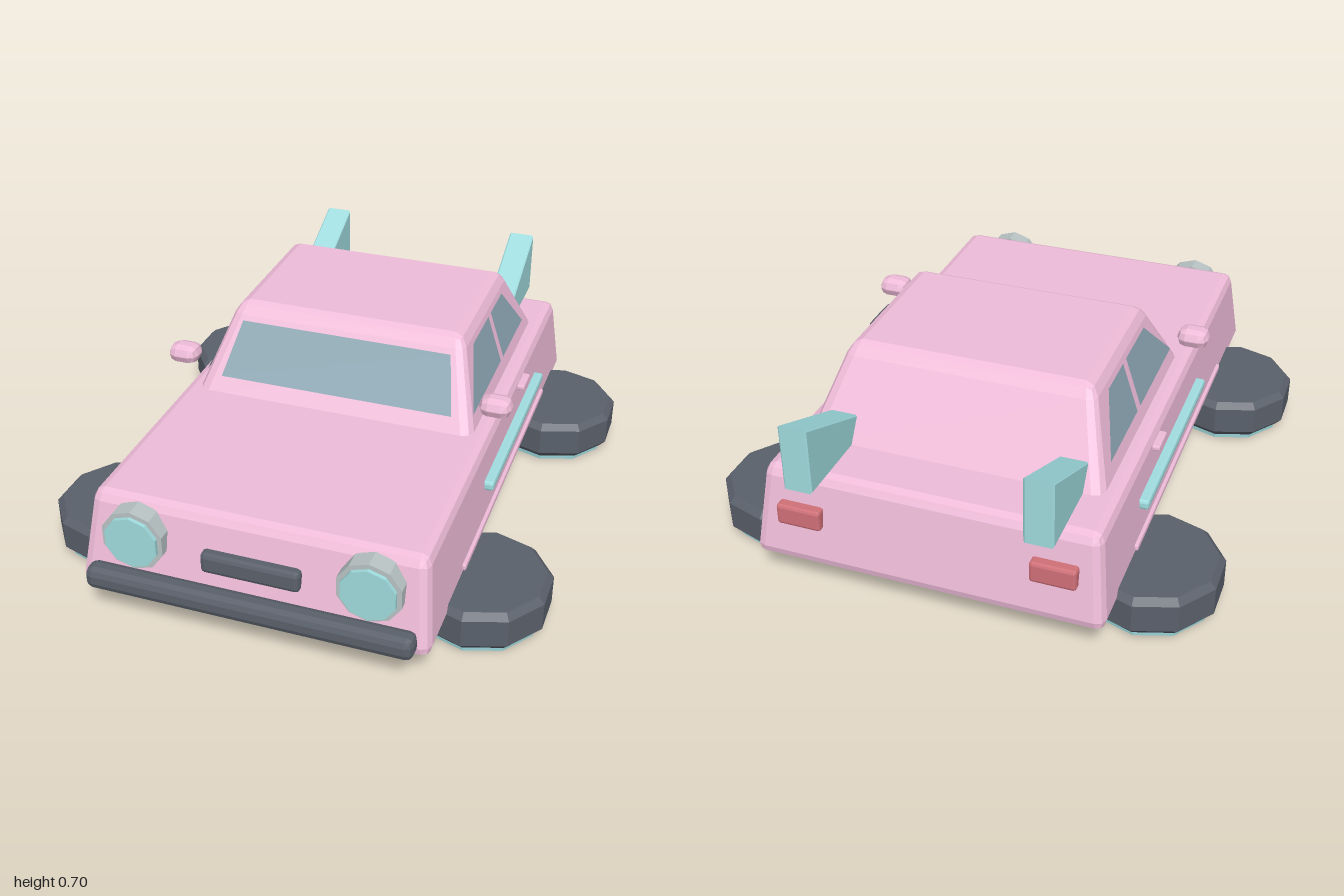
import * as THREE from 'three';
import { RoundedBoxGeometry } from 'three/addons/geometries/RoundedBoxGeometry.js';

const mat = (color, side = THREE.FrontSide) =>
  new THREE.MeshStandardMaterial({ color, flatShading: true, side });

export function createModel() {
  const car = new THREE.Group();
  car.name = 'car';
  const pink = mat(0xeebbd8), cyan = mat(0xa0dcdf), dark = mat(0x5a606b);
  const glass = mat(0x8aa4b0, THREE.DoubleSide), red = mat(0xd07078), rim = mat(0xb9c3c4);

  const add = (name, geometry, material, x = 0, y = 0, z = 0) => {
    const mesh = new THREE.Mesh(geometry, material);
    mesh.name = name;
    mesh.position.set(x, y, z);
    car.add(mesh);
    return mesh;
  };
  // Bevelled box given by its limits on each axis
  const box = (name, material, [x0, x1], [y0, y1], [z0, z1], bevel) =>
    add(name, new RoundedBoxGeometry(x1 - x0, y1 - y0, z1 - z0, 1, bevel), material,
      (x0 + x1) / 2, (y0 + y1) / 2, (z0 + z1) / 2);

  // Bevelled box whose sides lean inwards by a slope per unit of height
  const leaningBox = (name, y0, y1, halfX, front, rear, slope, bevel) => {
    const h = y1 - y0, d = front - rear;
    const g = new RoundedBoxGeometry(halfX * 2, h, d, 1, bevel);
    const p = g.attributes.position;
    for (let i = 0; i < p.count; i++) {
      const rise = p.getY(i) + h / 2;
      const u = p.getX(i) / halfX, v = p.getZ(i) / d + 0.5;
      const f = front - slope.front * rise, r = rear + slope.rear * rise;
      p.setXYZ(i, u * (halfX - slope.side * rise), rise + y0, r + (f - r) * v);
    }
    g.computeVertexNormals();
    add(name, g, pink);
  };
  leaningBox('body', 0.115, 0.43, 0.588, 0.953, -0.973, { side: 0.11, front: 0.25, rear: 0.19 }, 0.032);
  leaningBox('cabin', 0.37, 0.705, 0.52, 0.231, -0.765, { side: 0.327, front: 0.69, rear: 0.66 }, 0.04);

  // Windows lie just off the leaning cabin walls
  const pane = (name, corners) => {
    const g = new THREE.BufferGeometry();
    g.setAttribute('position', new THREE.Float32BufferAttribute(corners.flat(), 3));
    g.setIndex([0, 1, 2, 0, 2, 3]);
    g.computeVertexNormals();
    add(name, g, glass);
  };
  const low = 0.48, high = 0.65;
  const wallX = y => 0.505 - 0.327 * (y - 0.43);
  const wallZ = y => 0.196 - 0.69 * (y - 0.43);
  pane('windscreen', [[-0.42, low, wallZ(low)], [0.42, low, wallZ(low)],
    [0.38, high, wallZ(high)], [-0.38, high, wallZ(high)]]);

  for (const s of [-1, 1]) {
    const side = s > 0 ? 'left' : 'right';
    // Limits on x mirrored to this side
    const xs = (a, b) => (s > 0 ? [a, b] : [-b, -a]);

    // Side windows: lower front, lower rear, upper rear, upper front
    for (const [name, a, b, c, d] of [
      ['FrontWindow', 0.125, -0.268, -0.268, -0.055],
      ['RearWindow', -0.303, -0.607, -0.465, -0.303]]) {
      const corners = [[low, a], [low, b], [high, c], [high, d]]
        .map(([y, z]) => [s * wallX(y), y, z]);
      pane(side + name, s > 0 ? corners : corners.reverse());
    }

    // Side trim, door handle and mirror
    box(side + 'SideStrip', cyan, xs(0.55, 0.6), [0.27, 0.305], [-0.54, 0.25], 0.01);
    box(side + 'SillTrim', pink, xs(0.55, 0.592), [0.165, 0.188], [-0.62, 0.56], 0.006);
    box(side + 'DoorHandle', pink, xs(0.54, 0.583), [0.375, 0.395], [-0.36, -0.26], 0.006);
    box(side + 'Mirror', pink, xs(0.512, 0.622), [0.505, 0.572], [0.09, 0.182], 0.032);

    // Headlight: ten-sided rim with a lens set on it
    for (const [name, radius, depth, z, m] of [
      ['HeadlightRim', 0.108, 0.065, 0.908, rim], ['HeadlightLens', 0.092, 0.02, 0.944, cyan]])
      add(side + name, new THREE.CylinderGeometry(radius, radius, depth, 10), m, s * 0.39, 0.315, z)
        .rotation.x = Math.PI / 2;

    box(side + 'TailLight', red, xs(0.345, 0.495), [0.252, 0.325], [-0.968, -0.92], 0.01);

    // Tail fin: wedge profile drawn as (rearward, up), extruded across
    const profile = new THREE.Shape([[0.66, 0.43], [0.995, 0.43], [0.995, 0.65], [0.67, 0.505]]
      .map(([a, b]) => new THREE.Vector2(a, b)));
    const fin = new THREE.ExtrudeGeometry(profile, {
      depth: 0.085, bevelSize: 0.005, bevelThickness: 0.005, bevelSegments: 1 });
    fin.translate(0, 0, -0.0425).rotateY(Math.PI / 2);
    add(side + 'TailFin', fin, cyan, s * 0.388);

    // Wheels lie flat, hubs facing down
    for (const [end, z] of [['Front', 0.54], ['Rear', -0.615]]) {
      const tyre = [[0, 0.02], [0.213, 0.02], [0.236, 0.045], [0.236, 0.143], [0.215, 0.165], [0, 0.165]]
        .map(([r, y]) => new THREE.Vector2(r, y));
      add(side + end + 'Tyre', new THREE.LatheGeometry(tyre, 10), dark, s * 0.637, 0, z);
      add(side + end + 'Hub', new THREE.CylinderGeometry(0.208, 0.204, 0.03, 10), cyan, s * 0.637, 0.015, z);
    }
  }

  // Front bumper and grille
  box('frontBumper', dark, [-0.545, 0.545], [0.13, 0.208], [0.925, 1], 0.025);
  box('grille', dark, [-0.165, 0.165], [0.245, 0.318], [0.87, 0.937], 0.015);

  return car;
}
